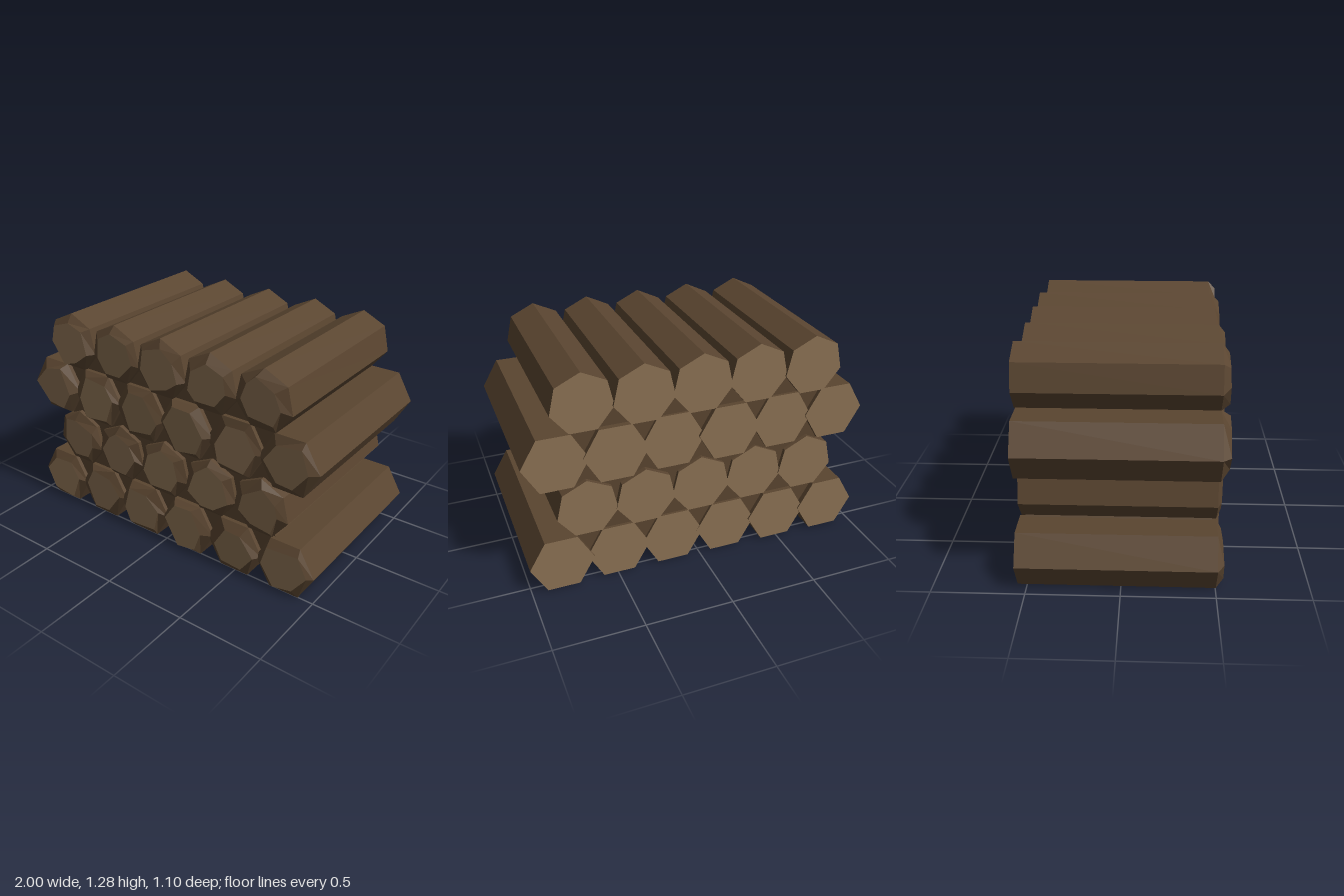
import * as THREE from 'three';

const bark = new THREE.MeshStandardMaterial({ color: 0x5a4530, flatShading: true });
bark.name = 'bark';
const wood = new THREE.MeshStandardMaterial({ color: 0x8b7153, flatShading: true });
wood.name = 'cutWood';

// Small seeded generator, -1..1
let seed = 11;
const rand = () => {
  seed = (seed * 16807) % 2147483647;
  return (seed / 2147483647) * 2 - 1;
};

const meshFrom = (points, material, name) => {
  const geometry = new THREE.BufferGeometry().setFromPoints(points);
  geometry.computeVertexNormals();
  const mesh = new THREE.Mesh(geometry, material);
  mesh.name = name;
  return mesh;
};

// Side strip between two rings; rings run anticlockwise seen from +z
const strip = (back, front) => back.flatMap((a, i) => {
  const j = (i + 1) % back.length;
  return [a, back[j], front[j], a, front[j], front[i]];
});

// Flat fan over a ring
const fan = (ring, flip) => {
  const out = [];
  for (let i = 1; i < ring.length - 1; i++) {
    out.push(ring[0], ring[flip ? i + 1 : i], ring[flip ? i : i + 1]);
  }
  return out;
};

// One log: straight bark, a rough chopped bevel in front, a clean cut behind
function makeLog(sides, radius, start) {
  const log = new THREE.Group();
  const backZ = -0.543 + 0.009 * rand();
  const capZ = 0.537 + 0.012 * rand();
  const tiltX = 0.05 * rand();
  const tiltY = 0.05 * rand();
  const ring = (z) => Array.from({ length: sides }, (_, i) => {
    const a = start + (i / sides) * Math.PI * 2;
    return new THREE.Vector3(Math.cos(a) * radius, Math.sin(a) * radius, z);
  });
  const back = ring(backZ);
  const rim = ring(0.503);
  const cap = rim.map((p) => {
    const a = Math.atan2(p.y, p.x) + 0.2 * rand();
    const r = radius * (0.74 + 0.1 * rand());
    const x = Math.cos(a) * r;
    const y = Math.sin(a) * r;
    return new THREE.Vector3(x, y, capZ + x * tiltX + y * tiltY);
  });
  log.add(
    meshFrom([...strip(back, rim), ...strip(rim, cap)], bark, 'logBark'),
    meshFrom(fan(cap, false), wood, 'choppedEnd'),
    meshFrom(fan(back, true), wood, 'sawnEnd'),
  );
  return log;
}

export function createModel() {
  const model = new THREE.Group();
  model.name = 'logStack';

  // Rows from the ground up: wide rows of six-sided logs, narrow rows of seven-sided ones
  const rows = [
    { count: 6, y: 0.16, sides: 6, radius: 0.182, start: 0 },
    { count: 5, y: 0.481, sides: 7, radius: 0.175, start: Math.PI / 2 },
    { count: 6, y: 0.792, sides: 6, radius: 0.182, start: 0 },
    { count: 5, y: 1.105, sides: 7, radius: 0.175, start: Math.PI / 2 },
  ];
  rows.forEach(({ count, y, sides, radius, start }, r) => {
    for (let i = 0; i < count; i++) {
      const log = makeLog(sides, radius, start);
      log.position.set((i - (count - 1) / 2) * (count === 6 ? 0.327 : 0.329), y, 0);
      log.name = `log${r + 1}_${i + 1}`;
      model.add(log);
    }
  });

  // Dark core closing the gaps between the logs
  const right = [[0.82, 0.16], [0.66, 0.48], [0.82, 0.79], [0.66, 1.07]];
  const outline = [...right, ...right.map(([x, y]) => [-x, y]).reverse()];
  const shape = new THREE.Shape(outline.map(([x, y]) => new THREE.Vector2(x, y)));
  const core = new THREE.Mesh(
    new THREE.ExtrudeGeometry(shape, { depth: 1.0, bevelEnabled: false }), bark);
  core.position.z = -0.52;
  core.name = 'gapFiller';
  model.add(core);

  return model;
}
